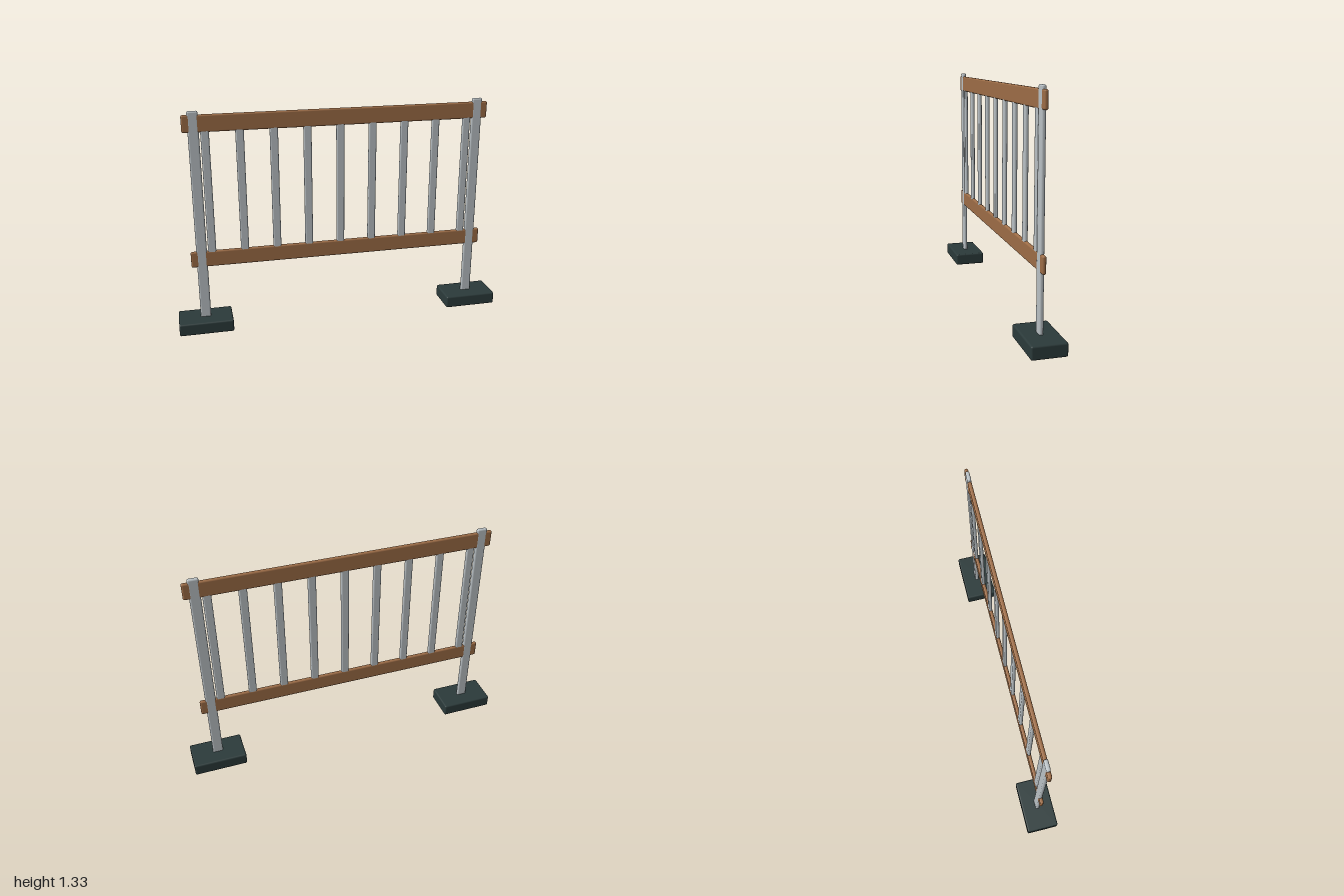
import * as THREE from 'three';
import { RoundedBoxGeometry } from 'three/addons/geometries/RoundedBoxGeometry.js';

const material = (name, color) => {
  const m = new THREE.MeshStandardMaterial({ color });
  m.name = name;
  return m;
};

export function createModel() {
  const group = new THREE.Group();
  group.name = 'barrier';
  const wood = material('brown wood', 0x9c6c46);
  const metal = material('grey metal', 0xb9c0c4);
  const rubber = material('dark rubber', 0x2b3a3a);

  // Rounded bar centred at x, z = 0, running from y0 to y1
  const addBar = (name, mat, x, y0, y1, width, depth, radius) => {
    const geometry = new RoundedBoxGeometry(width, y1 - y0, depth, 3, radius);
    const mesh = new THREE.Mesh(geometry, mat);
    mesh.name = name;
    mesh.position.set(x, (y0 + y1) / 2, 0);
    group.add(mesh);
  };

  // Feet and posts on both sides
  for (const [side, s] of [['left', 1], ['right', -1]]) {
    addBar(side + 'Foot', rubber, s * 0.839, 0, 0.075, 0.322, 0.196, 0.01);
    addBar(side + 'Post', metal, s * 0.838, 0.002, 1.334, 0.062, 0.0235, 0.01);
  }

  // Horizontal rails
  addBar('lowerRail', wood, 0, 0.4, 0.498, 1.804, 0.0225, 0.01);
  addBar('upperRail', wood, 0, 1.213, 1.313, 1.804, 0.0225, 0.01);

  // Upright slats, their ends hidden in the rails
  for (let i = -4; i <= 4; i++) {
    addBar('slat' + (i + 5), metal, i * 0.194, 0.45, 1.26, 0.048, 0.0205, 0.009);
  }
  return group;
}
